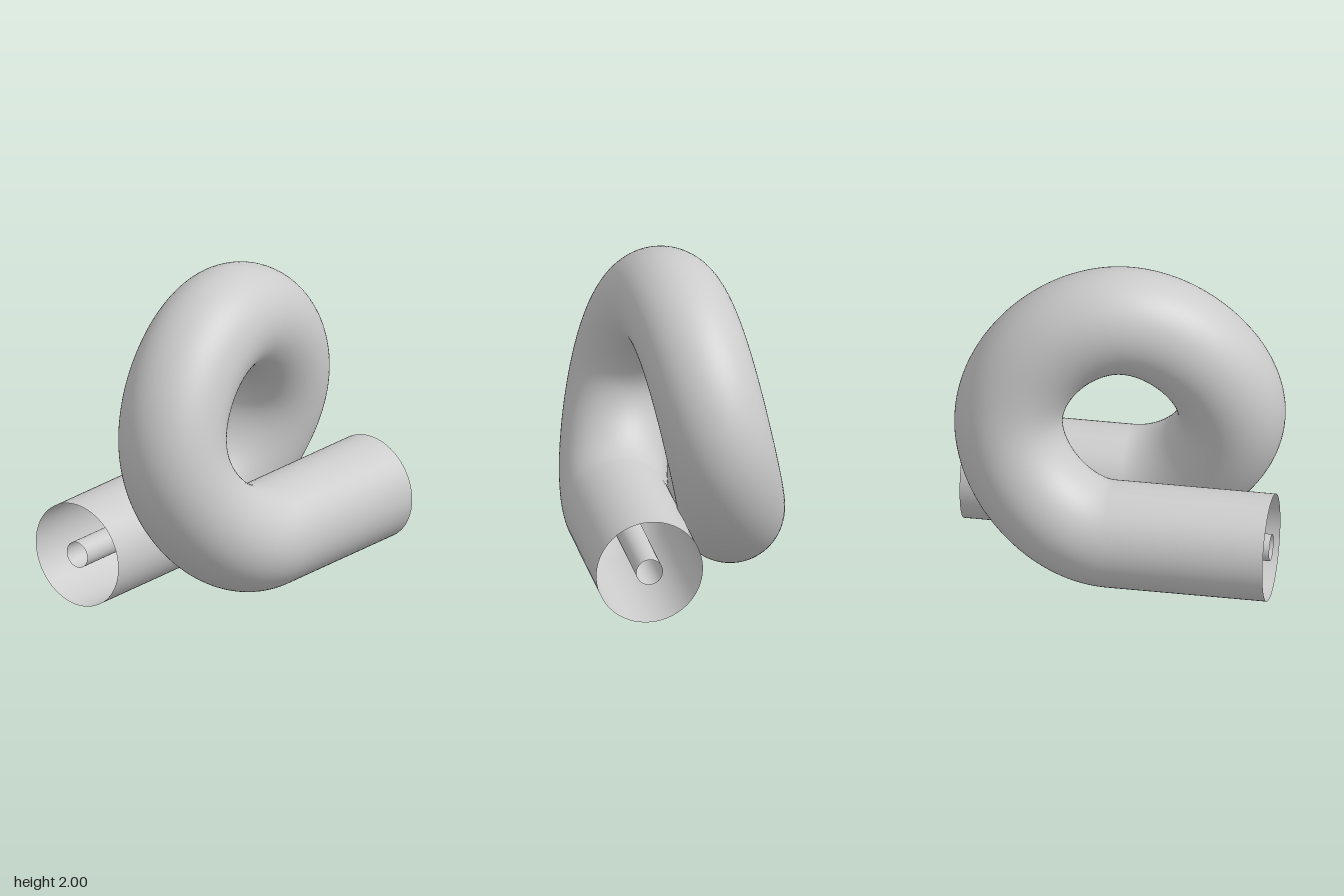
import * as THREE from 'three';

const U = 1 / 3; // pipe radius, the unit of the layout
const v = (x, y, z) => new THREE.Vector3(x, y, z);

// Straight lead-in, one sideways-stepping loop of four quarter arcs, straight lead-out
function loopPath() {
  const path = new THREE.CurvePath();
  const drift = [0, 3 / 14, 1 / 7, 3 / 14, 0]; // sideways slope at each quarter
  const knots = drift.map((dx, i) => {
    const a = (i * Math.PI) / 2;
    return {
      p: v(-U + (i * U) / 2, 1 - 2 * U * Math.cos(a), -2 * U * Math.sin(a)),
      h: v(dx, Math.sin(a), -Math.cos(a)).multiplyScalar(U),
    };
  });
  path.add(new THREE.LineCurve3(v(-U, U, 1), knots[0].p));
  for (let i = 0; i < 4; i++) {
    const a = knots[i], b = knots[i + 1];
    path.add(new THREE.CubicBezierCurve3(a.p, a.p.clone().add(a.h), b.p.clone().sub(b.h), b.p));
  }
  path.add(new THREE.LineCurve3(knots[4].p, v(U, U, -1)));
  path.arcLengthDivisions = 600;
  return path;
}

export function createModel() {
  const group = new THREE.Group();
  group.name = 'loopedPipe';
  const material = new THREE.MeshStandardMaterial({ color: 0xcccccc, side: THREE.DoubleSide });
  const path = loopPath();

  // Open-ended pipe with a thin concentric pipe inside
  for (const [name, radius, sides] of [['outerPipe', U, 72], ['innerPipe', U / 4, 36]]) {
    const mesh = new THREE.Mesh(new THREE.TubeGeometry(path, 240, radius, sides, false), material);
    mesh.name = name;
    group.add(mesh);
  }
  return group;
}
